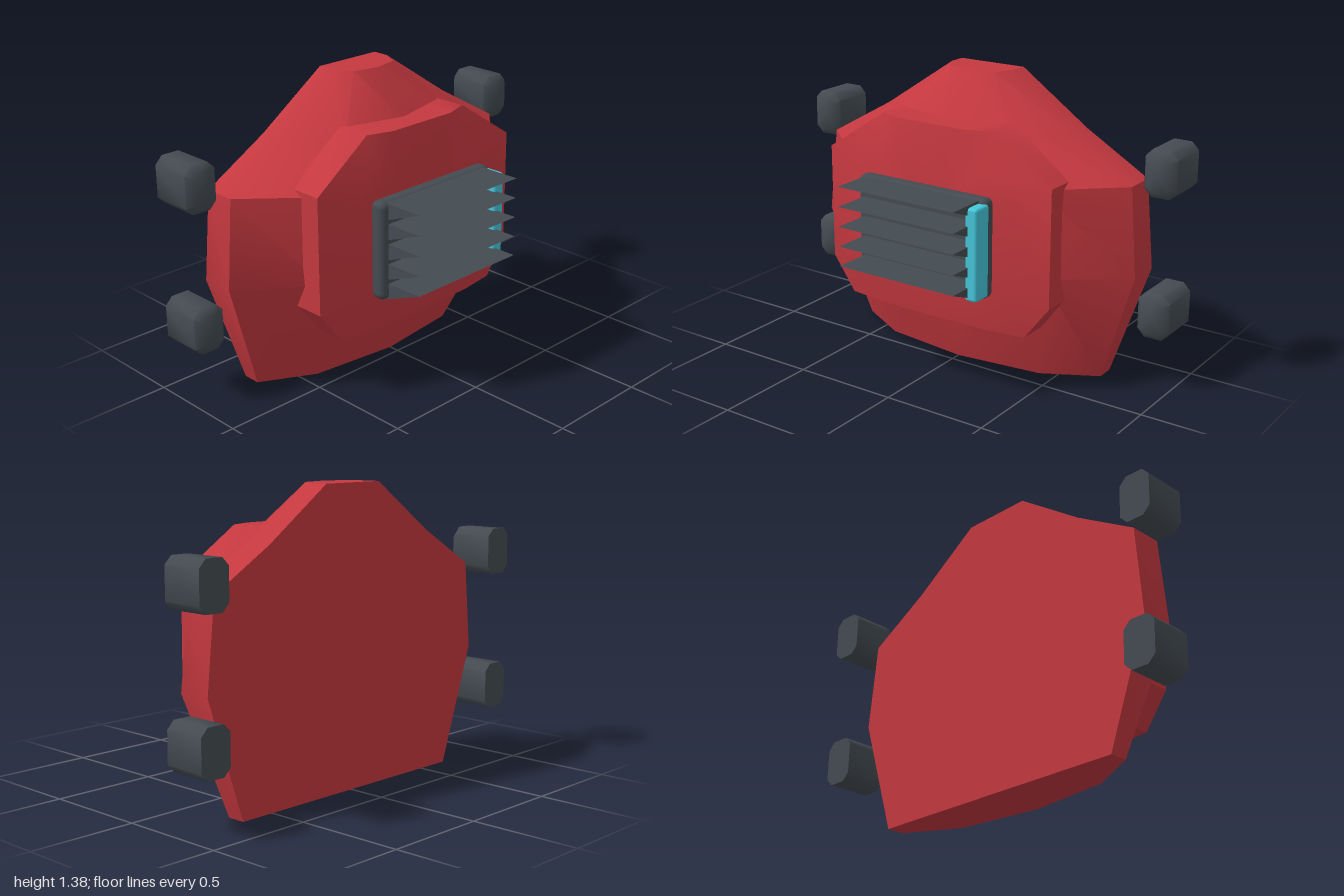
import * as THREE from 'three';
import { toCreasedNormals } from 'three/addons/utils/BufferGeometryUtils.js';
import { RoundedBoxGeometry } from 'three/addons/geometries/RoundedBoxGeometry.js';

const material = (name, color) => {
  const m = new THREE.MeshStandardMaterial({ color });
  m.name = name;
  return m;
};

// Completes a half outline (running from or to x = 0) with its mirror image
const mirrored = (half) => [
  ...half,
  ...half.filter((p) => p[0] > 0).reverse().map(([x, y, z]) => [-x, y, z]),
];

// Skins a series of closed rings, caps both ends, and makes the result face outward
function loft(rings, crease = 0.6) {
  const n = rings[0].length;
  const tris = [];
  for (let r = 0; r < rings.length - 1; r++) {
    for (let i = 0; i < n; i++) {
      const j = (i + 1) % n;
      const a = rings[r][i], b = rings[r][j], c = rings[r + 1][j], d = rings[r + 1][i];
      tris.push([a, b, c], [a, c, d]);
    }
  }
  const cap = (ring, flip) => {
    const mid = [0, 1, 2].map((k) => ring.reduce((s, p) => s + p[k], 0) / n);
    ring.forEach((p, i) => {
      const q = ring[(i + 1) % n];
      tris.push(flip ? [mid, q, p] : [mid, p, q]);
    });
  };
  cap(rings[0], true);
  cap(rings[rings.length - 1], false);

  let volume = 0;
  for (const [a, b, c] of tris) {
    const [A, B, C] = [a, b, c].map((p) => new THREE.Vector3(...p));
    volume += A.dot(B.cross(C));
  }
  if (volume < 0) tris.forEach((t) => t.reverse());
  const geo = new THREE.BufferGeometry();
  geo.setAttribute('position', new THREE.Float32BufferAttribute(tris.flat(2), 3));
  return toCreasedNormals(geo, crease);
}

export function createModel() {
  const red = material('red armour', 0xc4383f);
  const grey = material('dark grey', 0x444b51);
  const cyan = material('cyan', 0x45c6da);

  const model = new THREE.Group();
  model.name = 'chestArmour';
  const add = (name, geo, mat, x = 0, y = 0, z = 0, parent = model) => {
    const mesh = new THREE.Mesh(geo, mat);
    mesh.name = name;
    mesh.position.set(x, y, z);
    parent.add(mesh);
    return mesh;
  };

  // Main shell: flat back, domed front. Row: height, half width, side z, shoulder x, shoulder z, centre z
  const rows = [
    [0, 0.67, -0.235, 0.42, -0.1, -0.05],
    [0.55, 0.86, -0.16, 0.54, 0.08, 0.13],
    [0.96, 0.82, -0.17, 0.52, 0.1, 0.13],
    [1.14, 0.51, -0.2, 0.32, 0.0, 0.085],
    [1.375, 0.17, -0.24, 0.12, -0.15, -0.125],
  ];
  add('shell', loft(rows.map(([y, w, zs, xm, zm, zc]) => mirrored(
    [[w, y, -0.32], [w, y, zs], [xm, y, zm], [0, y, zc]],
  ))), red);

  // Raised breastplate with a softly bulging front
  const rim = [
    [0, 0.28, 0.165], [0.3, 0.28, 0.16], [0.48, 0.28, 0.135], [0.6, 0.44, 0.13],
    [0.6, 0.985, 0.13], [0.3, 1.185, 0.115], [0.18, 1.185, 0.155], [0, 1.185, 0.155],
  ];
  const face = [
    [0, 0.44, 0.187], [0.25, 0.44, 0.187], [0.35, 0.46, 0.187], [0.4, 0.52, 0.187],
    [0.4, 0.92, 0.187], [0.25, 1, 0.187], [0.15, 1, 0.187], [0, 1, 0.187],
  ];
  const back = rim.map(([x, y]) => [x, y, -0.05]);
  add('breastplate', loft([back, rim, face].map(mirrored)), red);

  // Vent: frame, five wedge louvres and a side light bar
  const vent = new THREE.Group();
  vent.name = 'vent';
  model.add(vent);
  add('ventFrame', new RoundedBoxGeometry(0.695, 0.46, 0.08, 2, 0.03), grey, 0, 0.69, 0.215, vent);
  for (let i = 0; i < 5; i++) {
    const y = 0.914 - 0.0935 * i;
    const wedge = (x) => [[x, y, 0.24], [x, y, 0.44], [x, y - 0.08, 0.24]];
    add('louvre', loft([wedge(-0.31), wedge(0.31)]), grey, 0, 0, 0, vent);
  }
  add('lightBar', new RoundedBoxGeometry(0.062, 0.425, 0.1, 2, 0.014), cyan, 0.324, 0.69, 0.28, vent);

  // Four side pods: chamfered blocks with a bevelled front and flat back
  const podRing = (w, h, c, z) => [
    [w, -h + c, z], [w, h - c, z], [w - c, h, z], [-w + c, h, z],
    [-w, h - c, z], [-w, -h + c, z], [-w + c, -h, z], [w - c, -h, z],
  ];
  const podGeo = loft([
    podRing(0.0775, 0.108, 0.035, -0.115),
    podRing(0.0775, 0.108, 0.035, 0.085),
    podRing(0.05, 0.08, 0.025, 0.115),
  ], 0.85);
  for (const side of [1, -1]) {
    for (const [level, y] of [['upper', 1.018], ['lower', 0.362]]) {
      add(`${level}${side > 0 ? 'Left' : 'Right'}Pod`, podGeo, grey, side * 0.9225, y, -0.32);
    }
  }
  return model;
}
